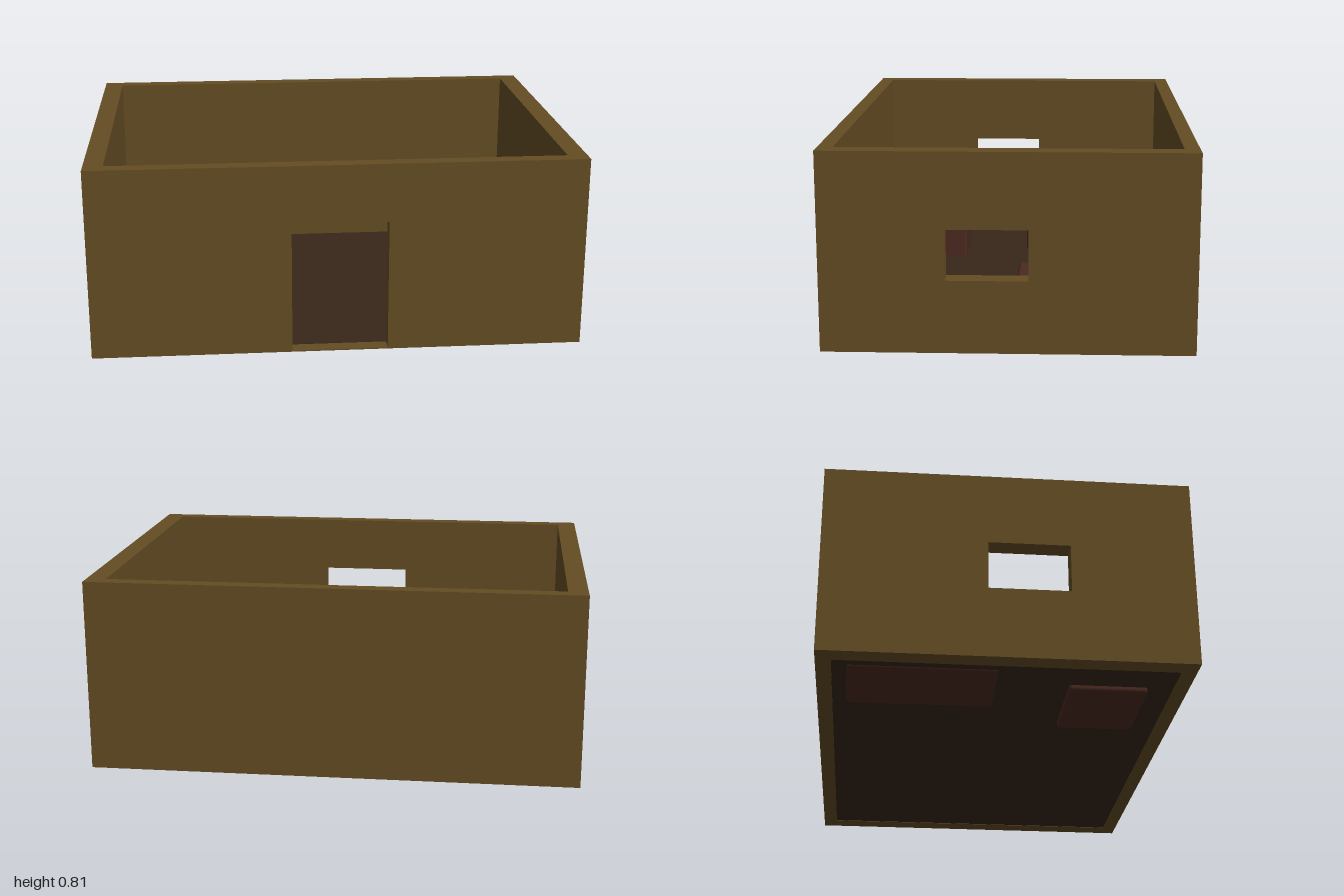
import * as THREE from 'three';
import { RoundedBoxGeometry } from 'three/addons/geometries/RoundedBoxGeometry.js';

const material = (color) => new THREE.MeshStandardMaterial({ color });

export function createModel() {
  const room = new THREE.Group();
  room.name = 'room';
  const clay = material(0x644c23);
  const earth = material(0x382619);
  const wood = material(0x4a2a20);
  const cloth = material(0x925a30);
  const linen = material(0x808080);

  const add = (name, geometry, mat, x, y, z) => {
    const mesh = new THREE.Mesh(geometry, mat);
    mesh.name = name;
    mesh.position.set(x, y, z);
    room.add(mesh);
    return mesh;
  };

  // Box given by its limits on each axis, with softened edges
  const softBox = (name, mat, [x0, x1], [y0, y1], [z0, z1], radius, segments = 2) =>
    add(name, new RoundedBoxGeometry(x1 - x0, y1 - y0, z1 - z0, segments, radius), mat,
      (x0 + x1) / 2, (y0 + y1) / 2, (z0 + z1) / 2);

  // Upright wall slab with an optional rectangular opening
  const bottom = 0.02, top = 0.81;
  const rectangle = (path, x0, x1, y0, y1) =>
    path.moveTo(x0, y0).lineTo(x1, y0).lineTo(x1, y1).lineTo(x0, y1).closePath();
  const wallGeometry = (halfLength, thickness, opening) => {
    const shape = rectangle(new THREE.Shape(), -halfLength, halfLength, bottom, top);
    if (opening) shape.holes.push(rectangle(new THREE.Path(), ...opening));
    return new THREE.ExtrudeGeometry(shape, { depth: thickness, bevelEnabled: false });
  };

  // Walls: doorway in the front, a window in each side
  add('frontWall', wallGeometry(1, 0.06, [-0.19, 0.2, 0.025, 0.57]), clay, 0, 0, 0.665);
  add('backWall', wallGeometry(1, 0.06), clay, 0, 0, -0.725);
  for (const side of [-1, 1]) {
    const wall = add(side > 0 ? 'leftWall' : 'rightWall',
      wallGeometry(0.665, 0.08, [-0.24, 0.08, 0.31, 0.51]), clay, side > 0 ? 0.92 : -1, 0, 0);
    wall.rotation.y = Math.PI / 2;
  }

  // Floor
  add('floor', new THREE.BoxGeometry(1.84, 0.005, 1.33), earth, 0, 0.0245, 0);

  // Bed with blanket and pillow
  softBox('bedFrame', wood, [-0.88, -0.54], [0.015, 0.13], [-0.61, -0.03], 0.01);
  softBox('blanket', cloth, [-0.866, -0.556], [0.09, 0.165], [-0.44, -0.045], 0.02, 3);
  softBox('pillow', linen, [-0.857, -0.563], [0.115, 0.215], [-0.605, -0.445], 0.048, 5);

  // Chest near the door
  softBox('chest', wood, [-0.77, -0.385], [0, 0.2], [0.255, 0.565], 0.014);

  // Table with a round stool at each end
  softBox('table', wood, [0.43, 0.75], [0.03, 0.23], [-0.365, -0.025], 0.014);
  for (const z of [-0.5, 0.115])
    add('stool', new THREE.CylinderGeometry(0.09, 0.09, 0.11, 32), wood, 0.595, 0.08, z);

  return room;
}
